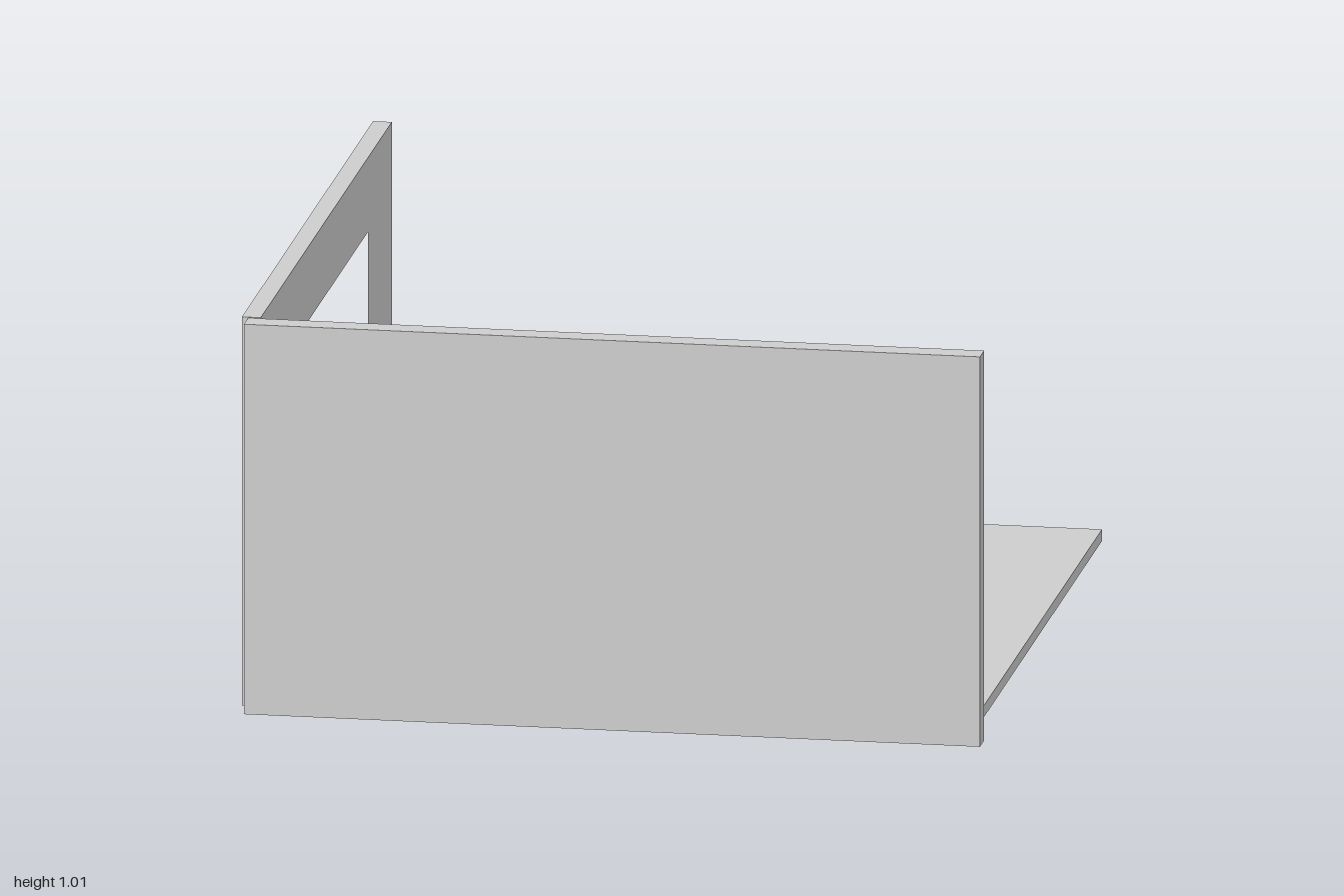
import * as THREE from 'three';
import { RoundedBoxGeometry } from 'three/addons/geometries/RoundedBoxGeometry.js';

const grey = new THREE.MeshStandardMaterial({ color: 0xcccccc });
grey.name = 'plain grey';

function add(parent, name, geometry, x = 0, y = 0, z = 0) {
  const mesh = new THREE.Mesh(geometry, grey);
  mesh.name = name;
  mesh.position.set(x, y, z);
  parent.add(mesh);
  return mesh;
}

function group(parent, name, x = 0, y = 0, z = 0) {
  const g = new THREE.Group();
  g.name = name;
  g.position.set(x, y, z);
  parent.add(g);
  return g;
}

// Boxes are given by their low and high limits on each axis
function box(parent, name, [x0, x1], [y0, y1], [z0, z1], radius = 0) {
  const size = [x1 - x0, y1 - y0, z1 - z0];
  const geometry = radius
    ? new RoundedBoxGeometry(...size, 5, radius)
    : new THREE.BoxGeometry(...size);
  return add(parent, name, geometry, (x0 + x1) / 2, (y0 + y1) / 2, (z0 + z1) / 2);
}

// Each pair of profile points is its own band, so edges stay sharp
function turned(parent, name, points, segments = 32) {
  const g = group(parent, name);
  for (let i = 0; i < points.length - 1; i++) {
    const band = [points[i], points[i + 1]].map(([r, y]) => new THREE.Vector2(r, y));
    add(g, name + 'Band', new THREE.LatheGeometry(band, segments));
  }
  return g;
}

export function createModel() {
  const room = new THREE.Group();
  room.name = 'livingRoom';

  // Floor and front wall
  box(room, 'floor', [-0.91, 0.91], [0.01, 0.04], [-0.995, 0.94]);
  box(room, 'frontWall', [-0.932, 0.943], [0, 1.013], [0.938, 1]);

  // Side wall with a long window opening
  const outline = new THREE.Shape([[-1, 0.005], [0.937, 0.005], [0.937, 1.015], [-1, 1.015]]
    .map(([z, y]) => new THREE.Vector2(-z, y)));
  outline.holes.push(new THREE.Path([[-0.645, 0.535], [0.598, 0.535], [0.598, 0.822], [-0.645, 0.822]]
    .map(([z, y]) => new THREE.Vector2(-z, y))));
  const wall = add(room, 'windowWall',
    new THREE.ExtrudeGeometry(outline, { depth: 0.048, bevelEnabled: false }), -0.948);
  wall.rotation.y = Math.PI / 2;

  // Sofa made of soft rounded blocks
  const sofa = group(room, 'sofa');
  box(sofa, 'seat', [-0.885, -0.497], [0.05, 0.175], [-0.393, 0.23], 0.05);
  box(sofa, 'backrest', [-0.868, -0.68], [0.07, 0.41], [-0.4, 0.233], 0.08);
  box(sofa, 'backPanel', [-0.892, -0.79], [0.06, 0.36], [-0.385, 0.22], 0.045);
  box(sofa, 'leftArm', [-0.845, -0.508], [0.092, 0.243], [0.198, 0.33], 0.045);
  box(sofa, 'rightArm', [-0.873, -0.533], [0.092, 0.243], [-0.472, -0.342], 0.045);

  // Low table with two slab legs
  const table = group(room, 'table');
  box(table, 'tableTop', [-0.2, -0.02], [0.17, 0.225], [-0.325, 0.11]);
  box(table, 'leftLeg', [-0.2, -0.02], [0.06, 0.17], [0.047, 0.11]);
  box(table, 'rightLeg', [-0.2, -0.02], [0.06, 0.17], [-0.325, -0.25]);

  // Table lamp
  const lamp = group(room, 'lamp', -0.125, 0.225, 0);
  turned(lamp, 'lampBase', [[0, 0], [0.046, 0], [0.046, 0.01], [0.012, 0.02], [0.008, 0.09]]);
  turned(lamp, 'lampShade', [[0, 0.085], [0.06, 0.085], [0.03, 0.145], [0, 0.145]]);

  // Cup on a saucer
  const cup = group(room, 'cup', -0.11, 0.225, -0.148);
  turned(cup, 'saucer', [[0, 0], [0.03, 0], [0.048, 0.008], [0.03, 0.01], [0, 0.01]]);
  turned(cup, 'bowl', [[0.024, 0.01], [0.03, 0.035], [0.037, 0.037], [0.037, 0.05],
    [0.027, 0.05], [0.02, 0.018], [0, 0.018]]);

  // Small bottle
  const bottle = group(room, 'bottle', -0.092, 0.225, -0.275);
  turned(bottle, 'bottleBody', [[0, 0], [0.027, 0], [0.027, 0.092], [0, 0.092]]);
  add(bottle, 'bottleNeck', new THREE.CylinderGeometry(0.008, 0.008, 0.02, 16), -0.003, 0.101, 0);

  // Large open drum
  const drum = group(room, 'drum', 0.394, 0, 0.125);
  turned(drum, 'drumShell', [[0.125, 0.17], [0.142, 0.17], [0.142, 0.453], [0.125, 0.453], [0.125, 0.17]], 48);

  return room;
}
